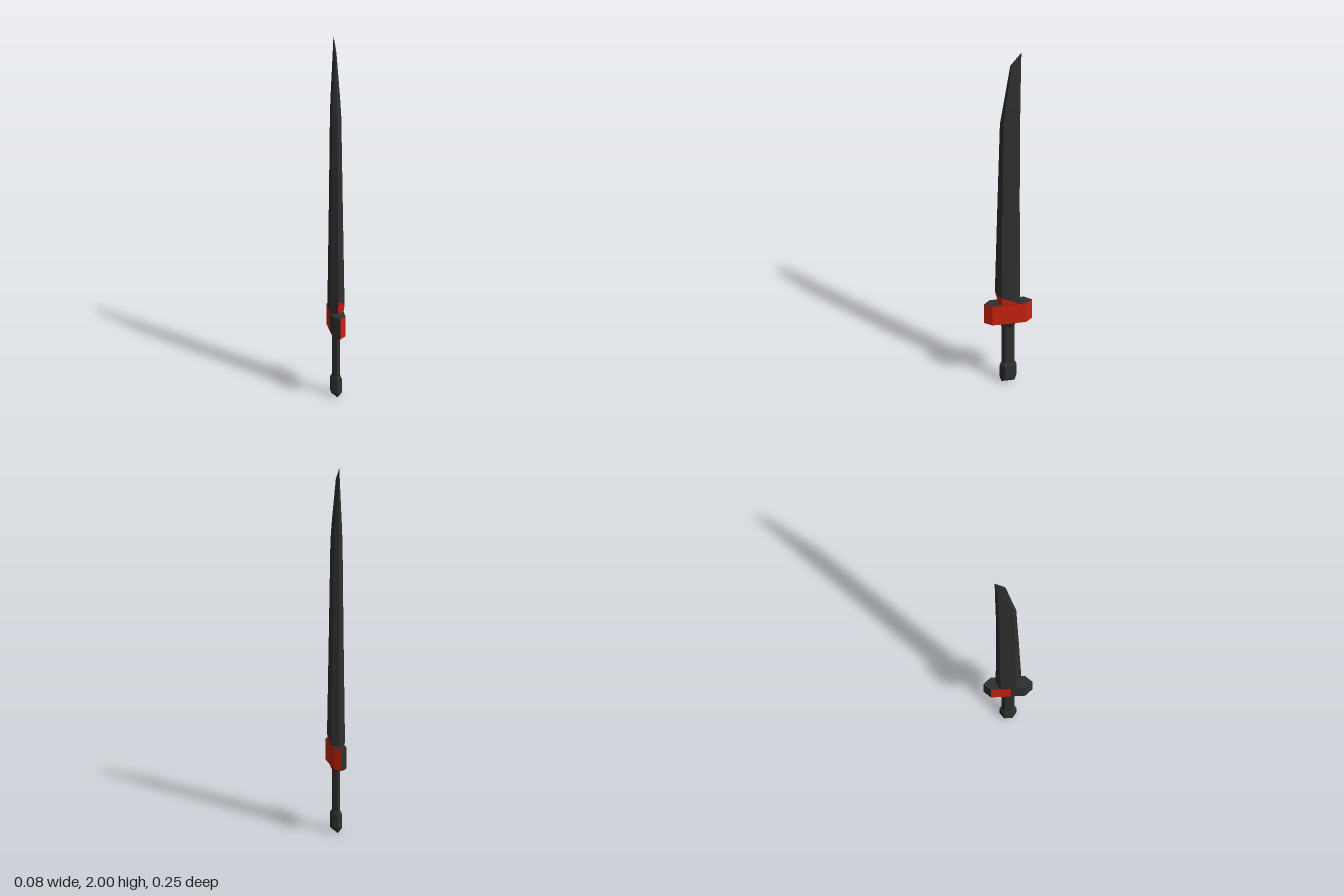
import * as THREE from 'three';

// Lofts rings of [x, y, z] corners (listed front, left, back, right) into a closed solid.
// redSides lists the side strips that take the second material.
function loft(name, rings, materials, redSides = []) {
  const n = rings[0].length;
  const pos = [[], []];
  const tri = (m, ...pts) => pts.forEach((p) => pos[m].push(...p));
  for (let r = 0; r < rings.length - 1; r++) {
    const lo = rings[r], hi = rings[r + 1];
    for (let i = 0; i < n; i++) {
      const j = (i + 1) % n;
      const m = redSides.includes(i) ? 1 : 0;
      tri(m, lo[i], lo[j], hi[j]);
      tri(m, lo[i], hi[j], hi[i]);
    }
  }
  const bottom = rings[0], top = rings[rings.length - 1];
  for (let i = 1; i < n - 1; i++) {
    tri(0, bottom[0], bottom[i + 1], bottom[i]);
    tri(0, top[0], top[i], top[i + 1]);
  }
  const geo = new THREE.BufferGeometry();
  geo.setAttribute('position', new THREE.Float32BufferAttribute([...pos[0], ...pos[1]], 3));
  geo.addGroup(0, pos[0].length / 3, 0);
  geo.addGroup(pos[0].length / 3, pos[1].length / 3, 1);
  geo.computeVertexNormals();
  const mesh = new THREE.Mesh(geo, materials);
  mesh.name = name;
  return mesh;
}

// Six-sided section: ridge at front and back, flat cheeks between; y may differ per station
function hex(y, w, front, cheekFront, cheekBack, back) {
  const [yf, ycf, ycb, yb] = Array.isArray(y) ? y : [y, y, y, y];
  return [
    [0, yf, front], [w, ycf, cheekFront], [w, ycb, cheekBack],
    [0, yb, back], [-w, ycb, cheekBack], [-w, ycf, cheekFront],
  ];
}
const evenHex = (y, w, d, cheek = d * 0.5) => hex(y, w, d, cheek, -cheek, -d);

export function createModel() {
  const dark = new THREE.MeshStandardMaterial({ color: 0x2f2f2f, flatShading: true });
  dark.name = 'dark steel';
  const red = new THREE.MeshStandardMaterial({ color: 0xc8220f, flatShading: true });
  red.name = 'red paint';
  const mats = [dark, red];

  const sword = new THREE.Group();
  sword.name = 'sword';

  // Pommel, grip and the flare under the guard
  sword.add(loft('pommel', [
    evenHex([0, 0.012, 0.012, 0], 0.012, 0.035, 0.025),
    evenHex([0.03, 0.022, 0.022, 0.03], 0.027, 0.044),
    evenHex(0.1, 0.027, 0.044),
    evenHex(0.118, 0.018, 0.036),
  ], mats));
  sword.add(loft('grip', [
    evenHex(0.11, 0.018, 0.035),
    evenHex(0.335, 0.018, 0.035),
    evenHex(0.37, 0.032, 0.05),
  ], mats));

  // Guard: painted on the left and on the rear part of the right cheek
  const guardRing = (y) => {
    const ring = hex(y, 0.034, 0.127, 0.09, -0.09, -0.127);
    ring.splice(5, 0, [-0.034, y, 0.015]);
    return ring;
  };
  sword.add(loft('guard', [guardRing(0.368), guardRing(0.482)], mats, [0, 1, 2, 4]));

  // Collar: slanted seam where the blade meets the guard
  const seam = hex([0.556, 0.53, 0.495, 0.485], 0.038, 0.07, 0.042, -0.042, -0.064);
  sword.add(loft('collar', [
    hex(0.475, 0.033, 0.05, 0.035, -0.035, -0.048),
    seam,
  ], mats, [0, 1]));

  // Blade: tapers and sweeps back to a clipped point
  sword.add(loft('blade', [
    seam,
    hex(0.62, 0.036, 0.068, 0.041, -0.042, -0.064),
    hex(1.1, 0.029, 0.056, 0.036, -0.045, -0.062),
    hex(1.58, 0.023, 0.043, 0.028, -0.049, -0.064),
    hex(1.68, 0.019, 0.027, 0.017, -0.051, -0.066),
    hex(1.93, 0.006, -0.012, -0.02, -0.058, -0.069),
    hex(2, 0.0005, -0.069, -0.0695, -0.0705, -0.071),
  ], mats));

  return sword;
}
